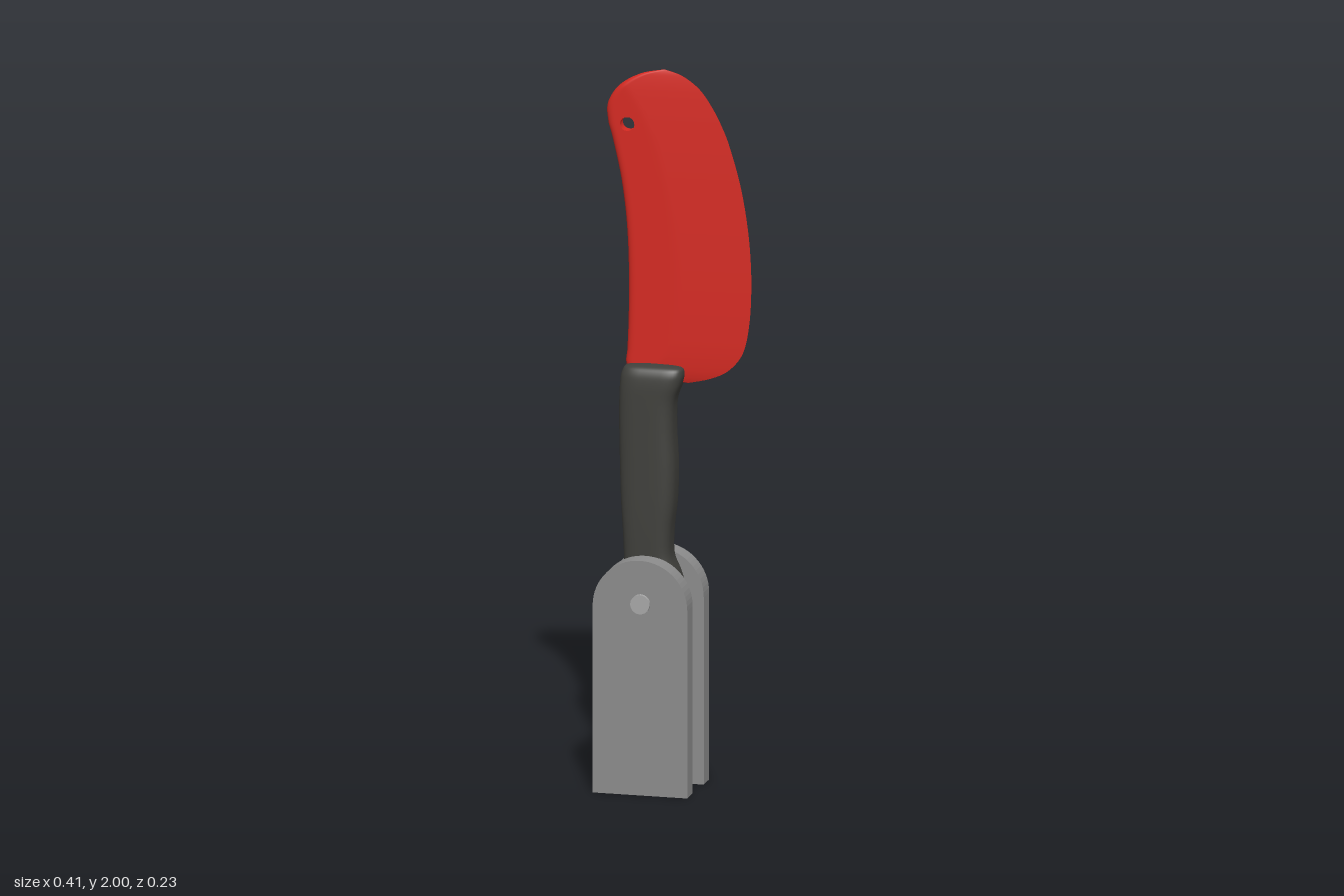
import * as THREE from 'three';

const paint = (color, extra = {}) => new THREE.MeshStandardMaterial({ color, ...extra });
const red = paint(0xd62a22, { side: THREE.DoubleSide });
const charcoal = paint(0x40403c);
const plateGrey = paint(0x8c8c8c);
const pinGrey = paint(0xa8a8a8);

// Smooth curve through [y, a] pairs
const spline = (pairs) => new THREE.SplineCurve(pairs.map(([y, a]) => new THREE.Vector2(a, y)));

function indexed(positions, index) {
  const geo = new THREE.BufferGeometry();
  geo.setAttribute('position', new THREE.Float32BufferAttribute(positions, 3));
  geo.setIndex(index);
  geo.computeVertexNormals();
  return geo;
}

function add(parent, name, geo, material) {
  const mesh = new THREE.Mesh(geo, material);
  mesh.name = name;
  parent.add(mesh);
  return mesh;
}

// Blade: thick rounded spine on -x, thin cutting edge on +x, round hole near the tip
const HOLE = { x: -0.138, y: 1.845, r: 0.02 };
const BLADE_Z = -0.008;
// y, spine x, edge x
const BLADE = [
  [1.13, 0.02, 0.03], [1.145, -0.1, 0.09], [1.17, -0.142, 0.14], [1.22, -0.141, 0.18],
  [1.3, -0.138, 0.198], [1.4, -0.137, 0.204], [1.5, -0.139, 0.201], [1.6, -0.146, 0.19],
  [1.7, -0.16, 0.171], [1.8, -0.182, 0.142], [1.85, -0.195, 0.122], [1.9, -0.195, 0.096],
  [1.95, -0.163, 0.06], [1.985, -0.105, 0.012], [2, -0.042, -0.036],
];

function bladeSide(side) {
  const spine = spline(BLADE.map(([y, a]) => [y, a]));
  const edge = spline(BLADE.map(([y, , b]) => [y, b]));
  const rows = 98, cols = 32, positions = [], inHole = [], index = [];
  for (let j = 0; j <= rows; j++) {
    const l = spine.getPoint(j / rows), r = edge.getPoint(j / rows);
    for (let i = 0; i <= cols; i++) {
      let x = l.x + (r.x - l.x) * (i / cols) ** 1.4, y = l.y;
      // grid points inside the hole slide out to its rim
      const dx = x - HOLE.x, dy = y - HOLE.y, d = Math.hypot(dx, dy);
      inHole.push(d < HOLE.r);
      if (d < HOLE.r) {
        x = HOLE.x + dx / (d || 1) * HOLE.r;
        y = HOLE.y + dy / (d || 1) * HOLE.r;
      }
      const round = Math.min(1, Math.max(0, x - l.x) / 0.02);
      const taper = Math.min(0.015, 0.001 + 0.068 * Math.max(0, r.x - x));
      const half = taper * Math.sqrt(1 - (1 - round) ** 2);
      positions.push(x, y, BLADE_Z + side * half);
    }
  }
  for (let j = 0; j < rows; j++) for (let i = 0; i < cols; i++) {
    const a = j * (cols + 1) + i, b = a + 1, c = b + cols + 1, d = a + cols + 1;
    if ([a, b, c, d].every((k) => inHole[k])) continue;
    if (side > 0) index.push(a, b, c, a, c, d);
    else index.push(a, c, b, a, d, c);
  }
  return indexed(positions, index);
}

// Handle: rounded-rectangle sections, [y, back x, front x, half depth]
const HANDLE = [
  [0.465, -0.075, -0.065, 0.004], [0.472, -0.105, -0.03, 0.024], [0.5, -0.132, 0.004, 0.041],
  [0.55, -0.142, 0.019, 0.047], [0.6, -0.144, 0.008, 0.049], [0.65, -0.144, -0.012, 0.05],
  [0.72, -0.147, -0.012, 0.052], [0.8, -0.152, -0.003, 0.053], [0.9, -0.155, 0, 0.053],
  [1.0, -0.157, -0.005, 0.053], [1.08, -0.157, -0.003, 0.053], [1.13, -0.155, 0.014, 0.052],
  [1.16, -0.15, 0.02, 0.047], [1.177, -0.135, 0.008, 0.034], [1.182, -0.08, -0.06, 0.005],
];

function handleGeometry() {
  const [back, front, depth] = [1, 2, 3].map((k) => spline(HANDLE.map((row) => [row[0], row[k]])));
  const rows = 70, n = 40, positions = [], index = [];
  const bulge = (v) => Math.sign(v) * Math.abs(v) ** 0.55;
  for (let j = 0; j <= rows; j++) {
    const b = back.getPoint(j / rows), f = front.getPoint(j / rows), h = depth.getPoint(j / rows).x;
    for (let i = 0; i < n; i++) {
      const t = i / n * Math.PI * 2;
      positions.push((b.x + f.x) / 2 + (f.x - b.x) / 2 * bulge(Math.cos(t)), b.y, h * bulge(Math.sin(t)));
    }
  }
  for (let j = 0; j < rows; j++) for (let i = 0; i < n; i++) {
    const a = j * n + i, b = j * n + (i + 1) % n;
    index.push(a, a + n, b, b, a + n, b + n);
  }
  // end caps
  for (let i = 1; i < n - 1; i++) {
    index.push(0, i, i + 1, rows * n, rows * n + i + 1, rows * n + i);
  }
  return indexed(positions, index);
}

// Side plate: straight sides with a round top
function plateGeometry() {
  const r = 0.132, s = new THREE.Shape();
  s.moveTo(-r, 0);
  s.lineTo(r, 0);
  s.lineTo(r, 0.523);
  s.absarc(0, 0.523, r, 0, Math.PI, false);
  s.lineTo(-r, 0);
  return new THREE.ExtrudeGeometry(s, { depth: 0.059, bevelEnabled: false, curveSegments: 16 });
}

export function createModel() {
  const model = new THREE.Group();
  model.name = 'foldingKnife';

  const blade = new THREE.Group();
  blade.name = 'blade';
  model.add(blade);
  add(blade, 'bladeFront', bladeSide(1), red);
  add(blade, 'bladeBack', bladeSide(-1), red);
  const rim = add(blade, 'bladeHole', new THREE.CylinderGeometry(HOLE.r, HOLE.r, 0.029, 24, 1, true), red);
  rim.rotation.x = Math.PI / 2;
  rim.position.set(HOLE.x, HOLE.y, BLADE_Z);

  add(model, 'handle', handleGeometry(), charcoal);

  // Plates on either side of the handle, held by one pin
  const plate = plateGeometry();
  add(model, 'frontPlate', plate, plateGrey).position.set(-0.077, 0, 0.047);
  add(model, 'backPlate', plate, plateGrey).position.set(-0.071, 0, -0.108);
  const pin = add(model, 'pivotPin', new THREE.CylinderGeometry(0.027, 0.027, 0.235, 20), pinGrey);
  pin.rotation.x = Math.PI / 2;
  pin.position.set(-0.075, 0.535, -0.001);

  return model;
}
